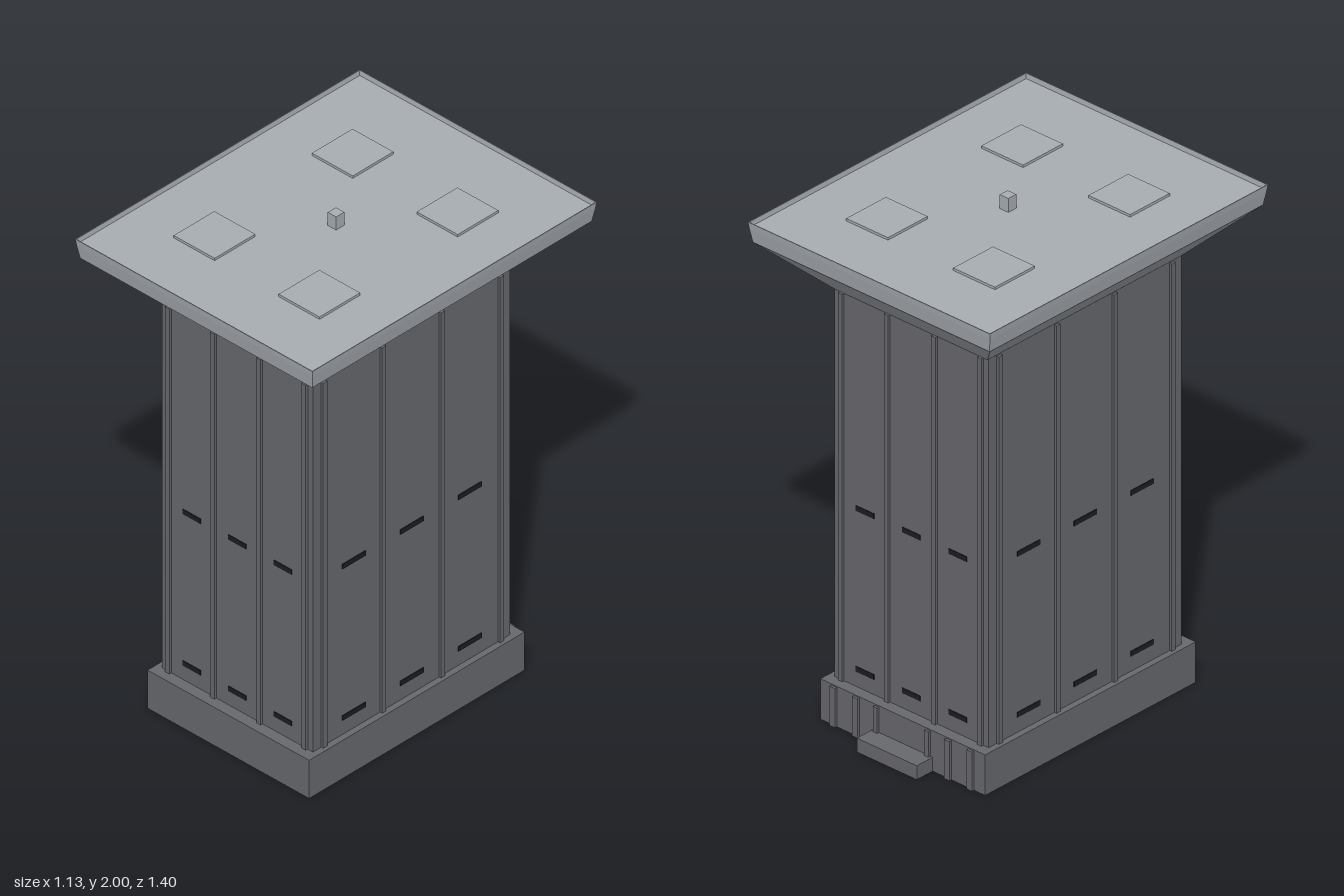
import * as THREE from 'three';

// Flat-faced skin through rectangular rings [halfX, halfZ, y]
function rectLoft(rings) {
  const signs = [[1, 1], [1, -1], [-1, -1], [-1, 1]];
  const point = ([hx, hz, y], i) => [signs[i % 4][0] * hx, y, signs[i % 4][1] * hz];
  const pos = [];
  for (let r = 0; r < rings.length - 1; r++) {
    for (let i = 0; i < 4; i++) {
      const a = point(rings[r], i), b = point(rings[r], i + 1);
      const c = point(rings[r + 1], i + 1), d = point(rings[r + 1], i);
      pos.push(...a, ...b, ...c);
      if (rings[r + 1][0] > 0) pos.push(...a, ...c, ...d);
    }
  }
  const geo = new THREE.BufferGeometry();
  geo.setAttribute('position', new THREE.Float32BufferAttribute(pos, 3));
  geo.computeVertexNormals();
  return geo;
}

export function createModel() {
  const model = new THREE.Group();
  model.name = 'tower';
  const mat = (name, color) => {
    const m = new THREE.MeshStandardMaterial({ color });
    m.name = name;
    return m;
  };
  const wallGrey = mat('wall grey', 0x68696d);
  const capGrey = mat('cap light grey', 0xa9aeb4);
  const slotBlack = mat('slot black', 0x1c1d1f);

  const box = (name, m, w, h, d, x, y, z) => {
    const mesh = new THREE.Mesh(new THREE.BoxGeometry(w, h, d), m);
    mesh.name = name;
    mesh.position.set(x, y, z);
    model.add(mesh);
    return mesh;
  };

  // Plinth and shaft
  box('base', wallGrey, 0.77, 0.16, 1.06, 0, 0.08, 0);
  box('shaft', wallGrey, 0.72, 1.54, 0.97, 0, 0.925, 0);

  // Vertical ribs and window slots on all four walls
  for (const s of [1, -1]) {
    for (const x of [-0.325, -0.11, 0.11, 0.325])
      box('wallRib', wallGrey, 0.02, 1.53, 0.02, x, 0.925, s * 0.485);
    for (const z of [-0.435, -0.145, 0.145, 0.435])
      box('wallRib', wallGrey, 0.02, 1.53, 0.02, s * 0.36, 0.925, z);
    for (const y of [0.23, 0.865]) {
      for (const k of [-1, 0, 1]) {
        box('windowSlot', slotBlack, 0.085, 0.02, 0.006, k * 0.217, y, s * 0.485);
        box('windowSlot', slotBlack, 0.006, 0.02, 0.115, s * 0.36, y, k * 0.285);
      }
    }
  }

  // Rear entrance: pilasters, door frame and step
  for (const x of [-0.32, -0.215, 0.215, 0.32])
    box('basePilaster', wallGrey, 0.025, 0.155, 0.02, x, 0.0775, -0.53);
  for (const x of [-0.12, 0.12])
    box('doorPost', wallGrey, 0.02, 0.155, 0.02, x, 0.0775, -0.53);
  box('entranceStep', wallGrey, 0.28, 0.055, 0.09, 0, 0.0275, -0.565);

  // Flared cap with a thin rim around a sunken roof
  const cap = new THREE.Mesh(rectLoft([
    [0.355, 0.485, 1.69], [0.553, 0.688, 1.885], [0.562, 0.697, 1.94], [0.565, 0.7, 1.965],
    [0.562, 0.697, 1.965], [0.56, 0.695, 1.945], [0, 0, 1.945],
  ]), capGrey);
  cap.name = 'flaredCap';
  model.add(cap);

  // Roof pads and central mast
  for (const x of [-0.25, 0.25])
    for (const z of [-0.34, 0.34])
      box('roofPad', capGrey, 0.195, 0.02, 0.2, x, 1.945, z);
  box('mast', capGrey, 0.04, 0.06, 0.04, 0, 1.97, 0);

  return model;
}
